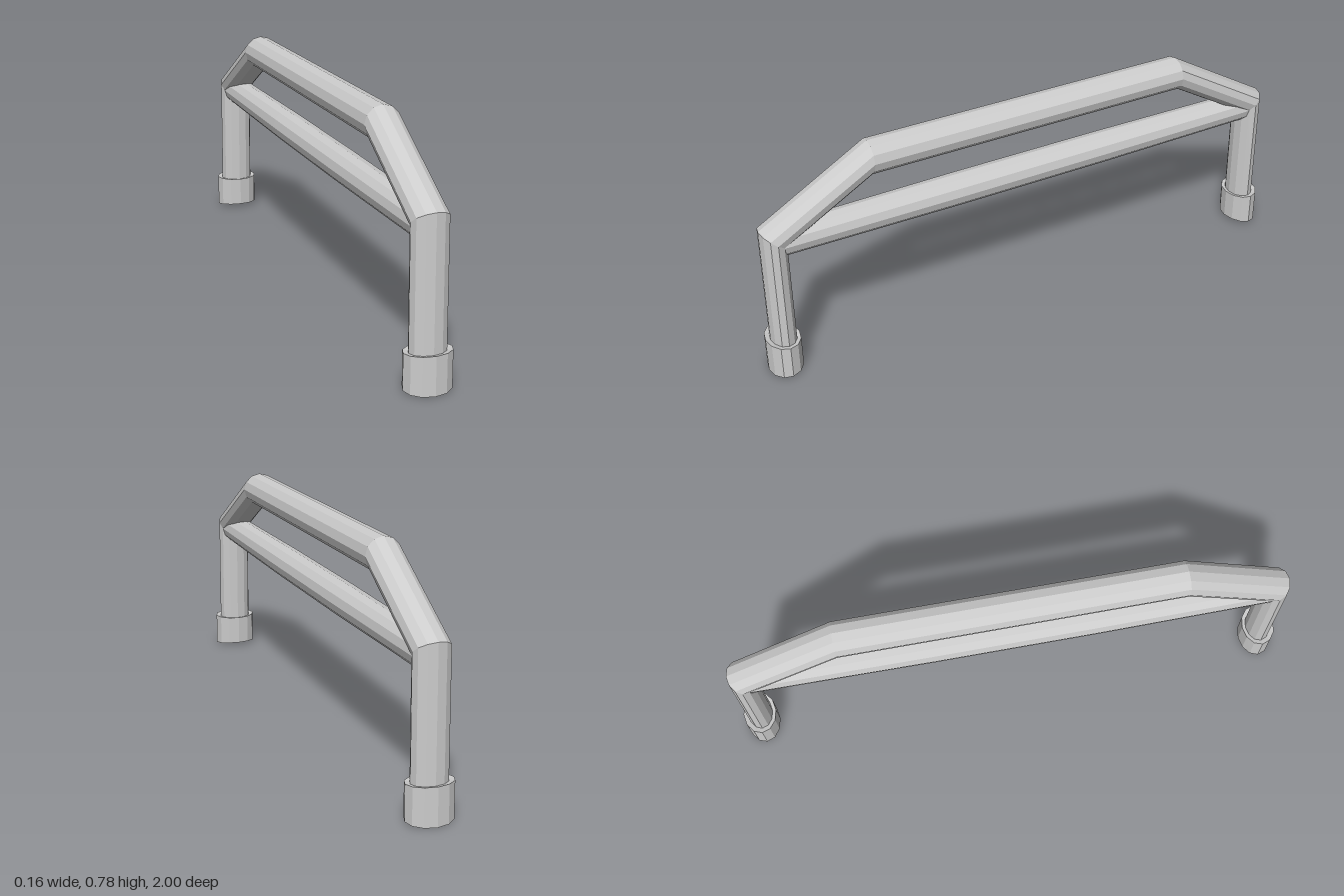
import * as THREE from 'three';

const SIDES = 12;
const material = new THREE.MeshStandardMaterial({
  color: 0xcccccc, flatShading: true, side: THREE.DoubleSide,
});

// A cross-section: centre (y, z), half width in x, and the in-plane half axis (vy, vz)
const ring = (y, z, rx, vy, vz) => ({ y, z, rx, vy, vz });

// Skins a row of oval cross-sections into an open faceted tube
function loft(name, rings) {
  const pos = [], index = [];
  for (const r of rings) {
    for (let j = 0; j < SIDES; j++) {
      const a = (j / SIDES) * Math.PI * 2, c = Math.cos(a), s = Math.sin(a);
      pos.push(r.rx * c, r.y + r.vy * s, r.z + r.vz * s);
    }
  }
  for (let i = 0; i < rings.length - 1; i++) {
    for (let j = 0; j < SIDES; j++) {
      const k = (j + 1) % SIDES;
      const a = i * SIDES + j, b = i * SIDES + k;
      index.push(a, b, a + SIDES, b, b + SIDES, a + SIDES);
    }
  }
  const indexed = new THREE.BufferGeometry();
  indexed.setAttribute('position', new THREE.Float32BufferAttribute(pos, 3));
  indexed.setIndex(index);
  const geometry = indexed.toNonIndexed();
  geometry.computeVertexNormals();
  const mesh = new THREE.Mesh(geometry, material);
  mesh.name = name;
  return mesh;
}

export function createModel() {
  const group = new THREE.Group();
  group.name = 'rollBar';

  // Bent main bar: back leg, slope, top, slope, front leg
  const half = [
    ring(0.118, -0.937, 0.061, 0, -0.044),
    ring(0.52, -0.93, 0.061, 0.034, -0.043),
    ring(0.719, -0.588, 0.061, 0.059, 0),
  ];
  const mirrored = half.map((r) => ring(r.y, -r.z, r.rx, r.vy, -r.vz)).reverse();
  group.add(loft('mainBar', [...half, ...mirrored]));

  // Straight lower rail, slightly thinner towards its ends
  group.add(loft('lowerRail', [
    [-0.93, 0.052], [-0.28, 0.057], [0.28, 0.057], [0.93, 0.052],
  ].map(([z, r]) => ring(0.5, z, r, r, 0))));

  // Oval foot sleeves, open below, with a rim closing onto the leg
  ['backFoot', 'frontFoot'].forEach((name, i) => {
    const foot = loft(name, [
      ring(0.006, -0.941, 0.079, -0.006, -0.059),
      ring(0.124, -0.939, 0.079, 0.003, -0.059),
      ring(0.12, -0.937, 0.06, 0.002, -0.043),
    ]);
    foot.rotation.y = i * Math.PI;
    group.add(foot);
  });

  return group;
}
